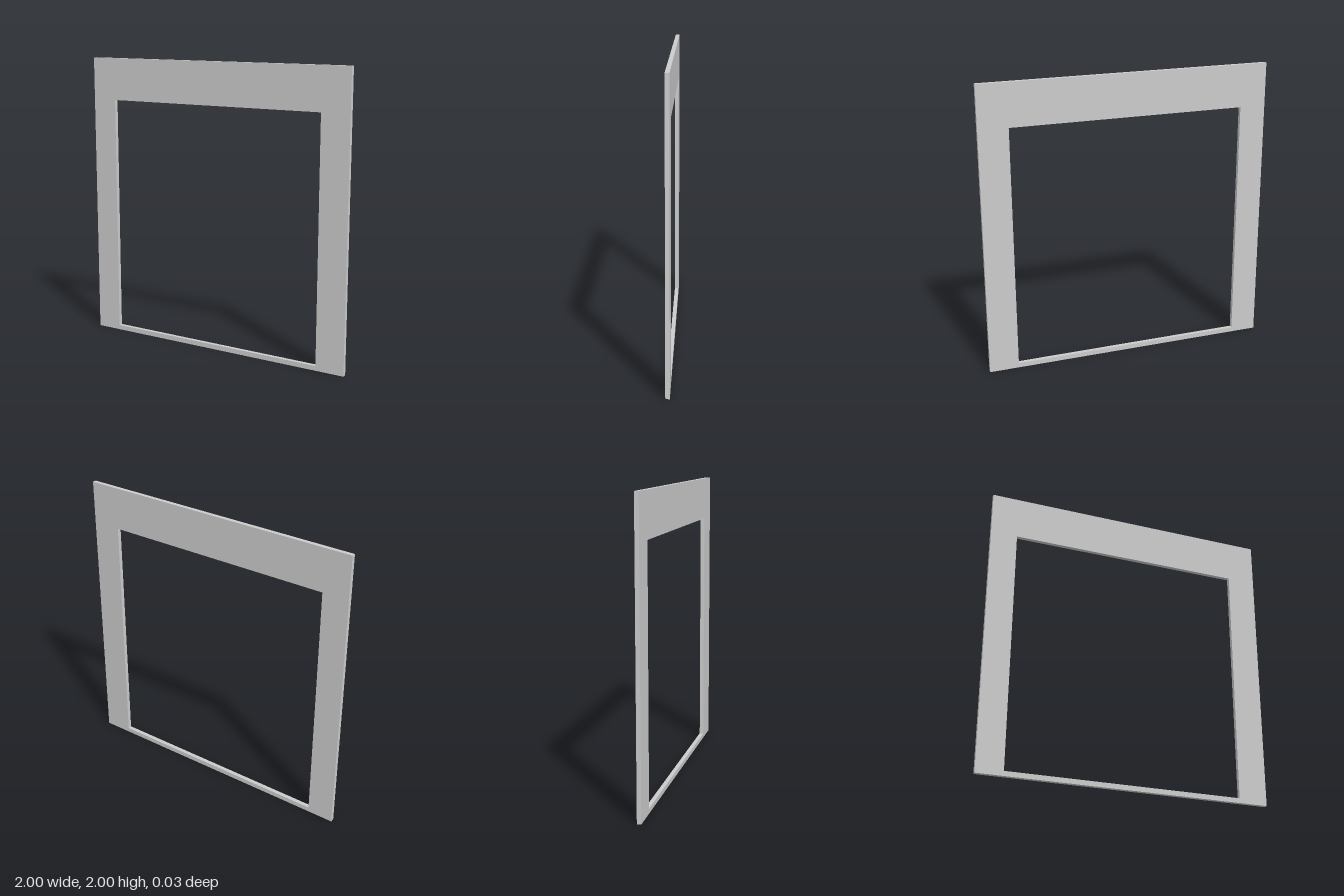
import * as THREE from 'three';

const DEPTH = 0.028;

// Closed rectangular outline
function rectangle(path, left, right, bottom, top) {
  path.moveTo(left, bottom);
  path.lineTo(right, bottom);
  path.lineTo(right, top);
  path.lineTo(left, top);
  path.closePath();
  return path;
}

export function createModel() {
  const group = new THREE.Group();
  group.name = 'panelFrame';

  // Flat panel with a deep header, two side stiles and a thin sill around the opening
  const outline = rectangle(new THREE.Shape(), -1, 1, 0, 2);
  outline.holes.push(rectangle(new THREE.Path(), -0.818, 0.798, 0.033, 1.705));

  const geometry = new THREE.ExtrudeGeometry(outline, { depth: DEPTH, bevelEnabled: false });
  geometry.translate(0, 0, -DEPTH / 2);

  const frame = new THREE.Mesh(geometry, new THREE.MeshStandardMaterial({ color: 0xcccccc }));
  frame.name = 'frame';
  group.add(frame);
  return group;
}
